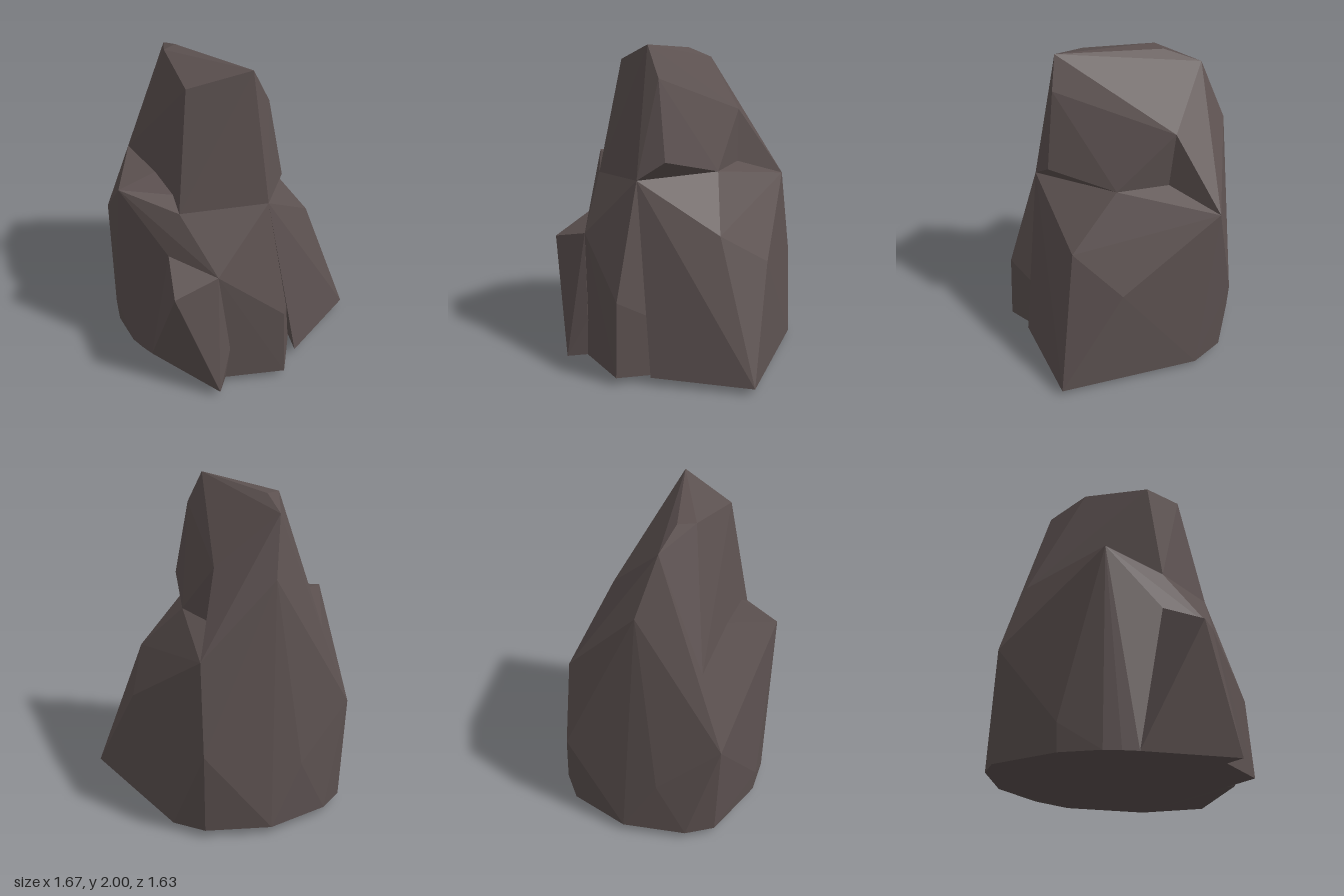
import * as THREE from 'three';
import { ConvexGeometry } from 'three/addons/geometries/ConvexGeometry.js';

export function createModel() {
  const rock = new THREE.Group();
  rock.name = 'rock';
  const stone = new THREE.MeshStandardMaterial({ color: 0x5c5150 });
  stone.name = 'dark stone';

  // Corners shared by neighbouring chunks
  const shoulderFront = [0.25, 1.22, 0.43];
  const shoulderSide = [0.21, 1.22, -0.13];
  const ledgeBack = [0, 1.23, -0.38];
  const ridgeBack = [0, 1.12, -0.73];
  const ledgeFront = [-0.27, 1.18, 0.49];
  const ledgeRight = [-0.66, 1.2, -0.28];
  const hipRight = [-0.84, 0.72, -0.28];
  const bulgeBack = [-0.03, 0.57, -0.82];
  const neckBack = [-0.03, 1.57, -0.4];
  const spurBack = [-0.4, 1.56, -0.55];
  const crownBack = [-0.4, 1.89, -0.38];
  const browLeft = [-0.04, 0.85, 0.67];
  const browRight = [-0.34, 0.91, 0.54];
  const footFront = [0, 0.05, 0.69];
  const footRight = [-0.49, 0.05, 0.49];
  const footBack = [0.18, 0.03, -0.71];
  const footLeft = [0.51, 0, -0.33];
  const heel = [-0.42, 0.05, -0.7];
  const heelRight = [-0.73, 0.05, -0.45];

  // Each chunk is a faceted hull around its corner points
  function chunk(name, corners) {
    const geometry = new ConvexGeometry(corners.map((c) => new THREE.Vector3(...c)));
    const mesh = new THREE.Mesh(geometry, stone);
    mesh.name = name;
    rock.add(mesh);
  }

  chunk('mainBoulder', [
    shoulderFront, shoulderSide, ledgeBack, ridgeBack, ledgeFront, ledgeRight,
    [-0.635, 1.26, 0.36], hipRight, bulgeBack, browLeft, browRight,
    [0.36, 0.52, 0.61], [0.38, 0.05, 0.63], footFront, footRight,
    [-0.56, 0.05, 0.43], [-0.63, 0.05, 0.36], [-0.76, 0.21, 0.15], [-0.75, 0.05, 0.15],
    [-0.82, 0.05, -0.28], heelRight, heel, [-0.03, 0.05, -0.79], footBack, footLeft,
  ]);

  // Sloping wedge that runs out to a point on the left
  chunk('sideSpur', [
    shoulderFront, shoulderSide, ridgeBack, bulgeBack, footBack, footLeft,
    [0.52, 0.9, 0.01], [0.5, 0.69, -0.33], [0.83, 0.04, -0.07],
    [0.56, 0.04, 0.25], [0.46, 0.05, 0.44],
  ]);

  chunk('frontButtress', [
    browLeft, browRight, footFront, footRight,
    [-0.29, 0.78, 0.79], [-0.03, 0.05, 0.815], [0.03, 0.3, 0.69],
  ]);

  chunk('backSlab', [
    crownBack, spurBack, neckBack, ridgeBack, ledgeBack, ledgeRight,
    hipRight, bulgeBack, heel, heelRight, [-0.58, 0.42, -0.56],
  ]);

  // Narrow upper block with the leaning crest
  chunk('peak', [
    [-0.22, 1.9, 0.34], [0.15, 2, 0.31], [0.24, 1.81, 0.28],
    [-0.37, 1.96, -0.08], [-0.31, 1.96, -0.17], crownBack, spurBack, neckBack,
    [0.33, 1.33, 0.28], shoulderFront, shoulderSide, ledgeBack, ledgeFront, ledgeRight,
  ]);

  return rock;
}
